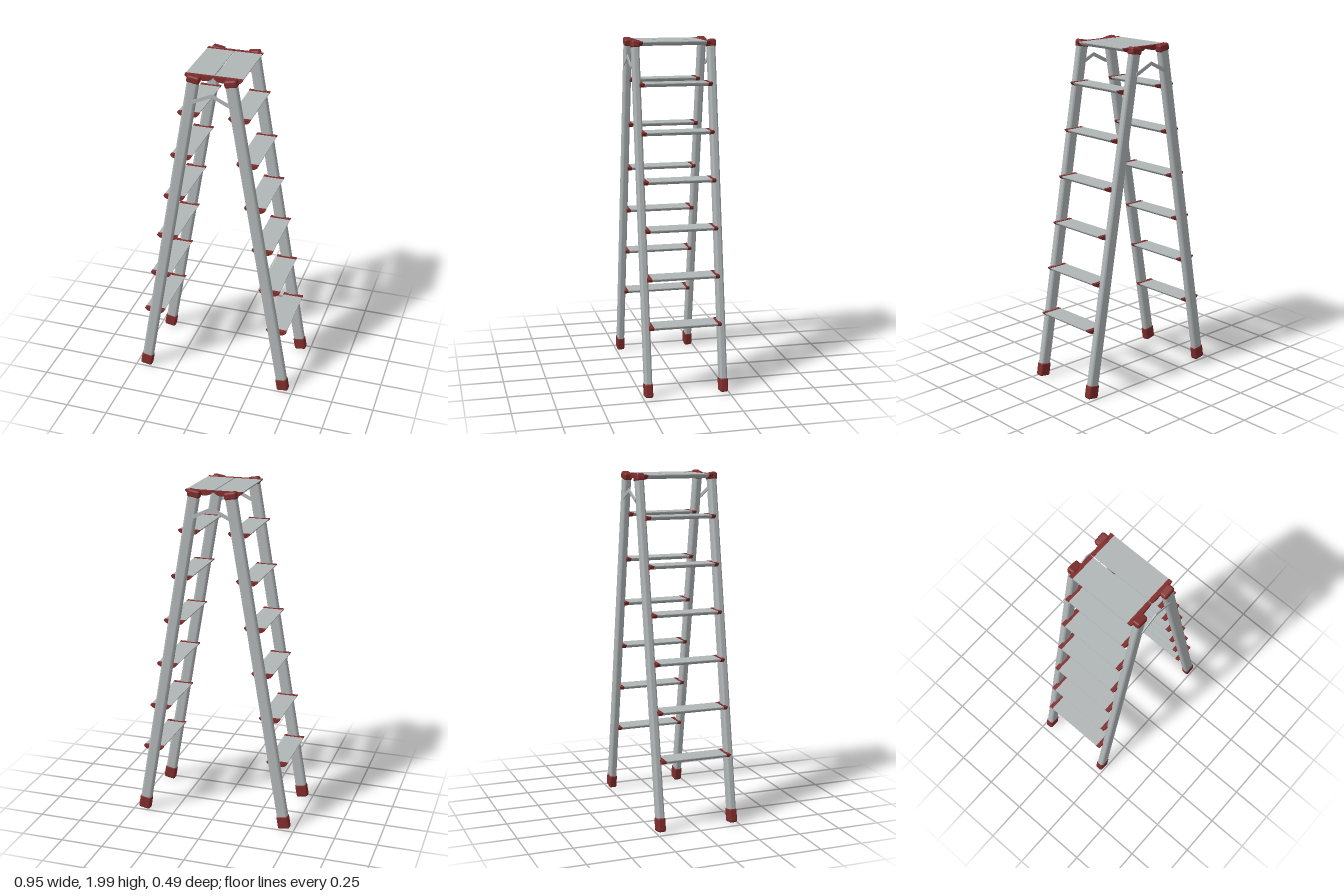
import * as THREE from 'three';
import { toCreasedNormals } from 'three/addons/utils/BufferGeometryUtils.js';
import { RoundedBoxGeometry } from 'three/addons/geometries/RoundedBoxGeometry.js';

const aluminium = new THREE.MeshStandardMaterial({ color: 0xb0b5b5 });
aluminium.name = 'aluminium';
const redPlastic = new THREE.MeshStandardMaterial({ color: 0x802c2c });
redPlastic.name = 'redPlastic';

function add(parent, name, geometry, material, x = 0, y = 0, z = 0) {
  const mesh = new THREE.Mesh(geometry, material);
  mesh.name = name;
  mesh.position.set(x, y, z);
  parent.add(mesh);
  return mesh;
}

// Extrusion centred on its depth, with smooth curves and sharp edges
function extrude(shape, depth) {
  const geometry = new THREE.ExtrudeGeometry(shape, { depth, bevelEnabled: false, curveSegments: 8 });
  geometry.translate(0, 0, -depth / 2);
  return toCreasedNormals(geometry, 0.6);
}

// Tread section: flat on top, curved underneath
function treadShape(width, height) {
  const w = width / 2, h = height / 2;
  const shape = new THREE.Shape();
  shape.moveTo(-w, h);
  shape.lineTo(-w, h * 0.6);
  shape.bezierCurveTo(-w * 0.85, -h * 0.7, -w * 0.6, -h, -w * 0.4, -h);
  shape.lineTo(w * 0.4, -h);
  shape.bezierCurveTo(w * 0.6, -h, w * 0.85, -h * 0.7, w, h * 0.6);
  shape.lineTo(w, h);
  shape.closePath();
  return shape;
}

// Rail section: rounded rectangle
function railShape(width, depth, r) {
  const w = width / 2, d = depth / 2;
  const shape = new THREE.Shape();
  shape.moveTo(-w + r, -d);
  shape.lineTo(w - r, -d);
  shape.absarc(w - r, -d + r, r, -Math.PI / 2, 0);
  shape.lineTo(w, d - r);
  shape.absarc(w - r, d - r, r, 0, Math.PI / 2);
  shape.lineTo(-w + r, d);
  shape.absarc(-w + r, d - r, r, Math.PI / 2, Math.PI);
  shape.lineTo(-w, -d + r);
  shape.absarc(-w + r, -d + r, r, Math.PI, Math.PI * 1.5);
  return shape;
}

const bottom = new THREE.Vector2(0.441, 0.007);
const top = new THREE.Vector2(0.102, 1.993);
const length = bottom.distanceTo(top);
const tilt = Math.atan2(bottom.x - top.x, top.y - bottom.y);
const railZ = 0.2195;

// One tilted rail with its foot and top cap
function makeRail(z) {
  const rail = new THREE.Group();
  rail.name = 'rail';
  rail.position.set(bottom.x, bottom.y, z);
  rail.rotation.z = tilt;
  const beam = extrude(railShape(0.066, 0.042, 0.014), length - 0.04);
  beam.rotateX(-Math.PI / 2);
  add(rail, 'railBeam', beam, aluminium, 0, length / 2, 0);
  add(rail, 'foot', new RoundedBoxGeometry(0.071, 0.083, 0.047, 3, 0.012), redPlastic, 0, 0.0415, 0);
  add(rail, 'topCap', new RoundedBoxGeometry(0.073, 0.043, 0.048, 3, 0.012), redPlastic, 0, length - 0.0215, 0);
  return rail;
}

// A tread with a red cap at each end
function makeTread(name, width, height) {
  const tread = new THREE.Group();
  tread.name = name;
  add(tread, name + 'Board', extrude(treadShape(width - 0.002, height - 0.002), 0.37), aluminium);
  for (const s of [1, -1]) {
    add(tread, name + 'EndCap', extrude(treadShape(width, height), 0.024), redPlastic, 0, 0, s * 0.196);
  }
  return tread;
}

// One leaning side of the ladder: rails, steps and half of the platform
function makeSide(name) {
  const side = new THREE.Group();
  side.name = name;
  side.add(makeRail(railZ), makeRail(-railZ));
  for (let i = 0; i < 6; i++) {
    const step = makeTread('step', 0.122, 0.024);
    const y = 0.403 + i * 0.269;
    step.position.set(0.383 - i * 0.0474, y, 0);
    side.add(step);
  }
  const platform = makeTread('platform', 0.16, 0.027);
  platform.position.set(0.082, 1.975, 0);
  side.add(platform);
  return side;
}

export function createModel() {
  const model = new THREE.Group();
  model.name = 'stepLadder';
  const left = makeSide('leftSide');
  const right = makeSide('rightSide');
  right.rotation.y = Math.PI;
  model.add(left, right);

  // Bent locking braces joining both sides
  const brace = new THREE.Shape();
  [[-0.11, 1.835], [-0.09, 1.842], [0, 1.885], [0.09, 1.842], [0.11, 1.835],
    [0.114, 1.852], [0.09, 1.864], [0, 1.906], [-0.09, 1.864], [-0.114, 1.852]]
    .forEach(([x, y], i) => (i ? brace.lineTo(x, y) : brace.moveTo(x, y)));
  brace.closePath();
  for (const s of [1, -1]) {
    add(model, 'lockingBrace', extrude(brace, 0.006), aluminium, 0, 0, s * 0.242);
  }
  return model;
}
